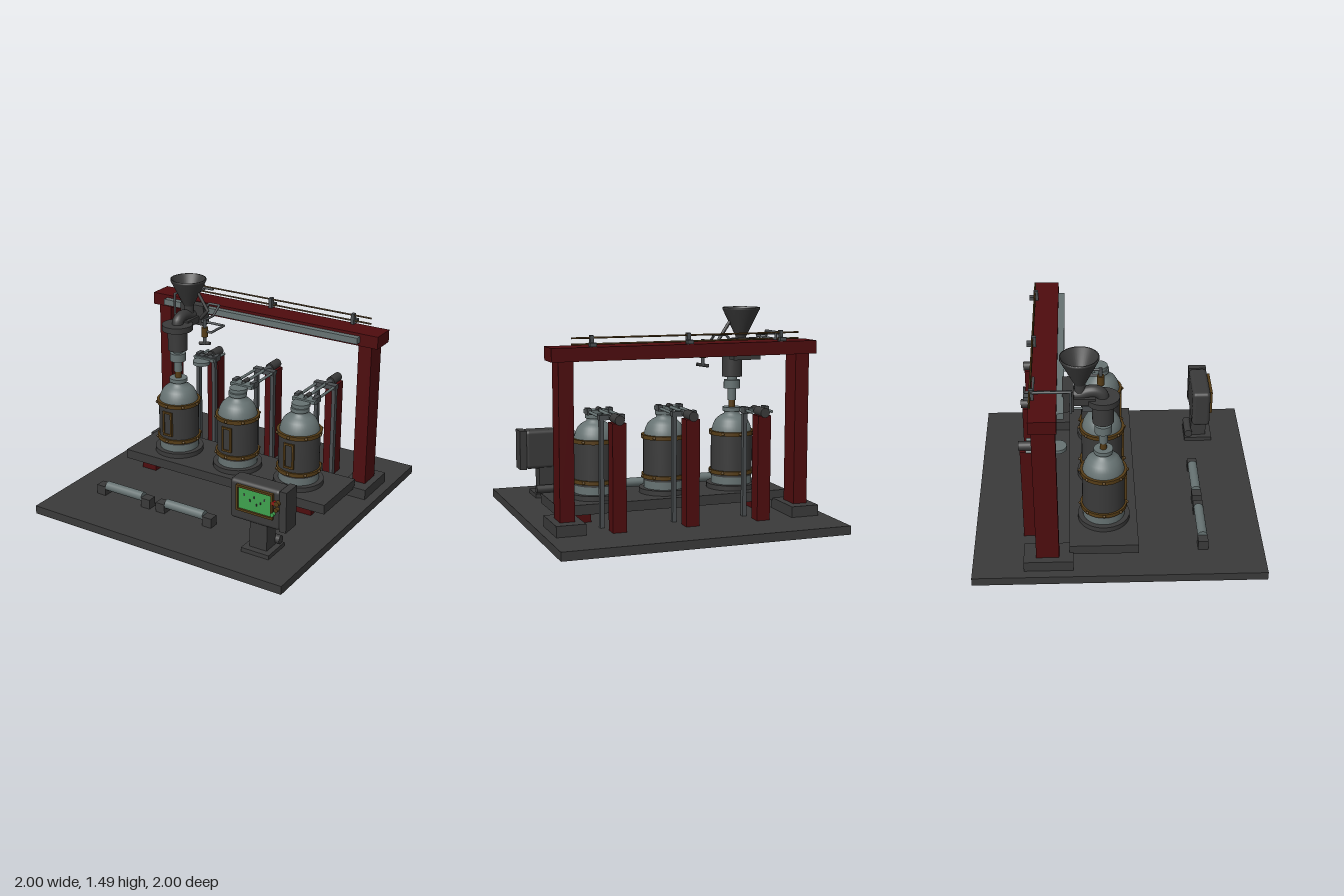
import * as THREE from 'three';
import { RoundedBoxGeometry } from 'three/addons/geometries/RoundedBoxGeometry.js';

const mat = (name, color, side = THREE.FrontSide) => {
  const m = new THREE.MeshStandardMaterial({ color, side });
  m.name = name;
  return m;
};

export function createModel() {
  const dark = mat('charcoal', 0x3a3a3a, THREE.DoubleSide);
  const red = mat('deepRed', 0x4e0c0e);
  const steel = mat('paleSteel', 0x667272, THREE.DoubleSide);
  const grey = mat('midGrey', 0x4a4e50);
  const gold = mat('bronze', 0x553c16);
  const green = mat('screenGreen', 0x3fa24e);
  const scarlet = mat('buttonRed', 0x9a1414);

  const model = new THREE.Group();
  model.name = 'fillingLine';

  const add = (parent, name, geo, m, x = 0, y = 0, z = 0) => {
    const mesh = new THREE.Mesh(geo, m);
    mesh.name = name;
    mesh.position.set(x, y, z);
    parent.add(mesh);
    return mesh;
  };
  // box given by its limits
  const box = (p, name, m, x0, x1, y0, y1, z0, z1) =>
    add(p, name, new THREE.BoxGeometry(x1 - x0, y1 - y0, z1 - z0), m, (x0 + x1) / 2, (y0 + y1) / 2, (z0 + z1) / 2);
  // upright cylinder given by its bottom and top
  const cyl = (p, name, m, r, y0, y1, x = 0, z = 0, rTop = r) =>
    add(p, name, new THREE.CylinderGeometry(rTop, r, y1 - y0, 32), m, x, (y0 + y1) / 2, z);
  // cylinder between two points
  const rod = (p, name, m, r, a, b) => {
    const A = new THREE.Vector3(...a), B = new THREE.Vector3(...b), d = B.clone().sub(A);
    const mesh = add(p, name, new THREE.CylinderGeometry(r, r, d.length(), 16), m);
    mesh.position.copy(A).add(B).multiplyScalar(0.5);
    mesh.quaternion.setFromUnitVectors(new THREE.Vector3(0, 1, 0), d.normalize());
    return mesh;
  };
  // bent pipe made of straight runs with ball corners
  const pipe = (p, name, m, r, pts) => {
    for (let i = 0; i < pts.length - 1; i++) {
      rod(p, name, m, r, pts[i], pts[i + 1]);
      if (i) add(p, name + 'Corner', new THREE.SphereGeometry(r, 12, 8), m, ...pts[i]);
    }
  };
  const group = (name, x = 0, y = 0, z = 0) => {
    const g = new THREE.Group();
    g.name = name;
    g.position.set(x, y, z);
    model.add(g);
    return g;
  };
  const lathe = (pts) => new THREE.LatheGeometry(pts.map(([r, y]) => new THREE.Vector2(r, y)), 40);
  // rectangular frame facing +z
  const frame = (w, h, t, depth) => {
    const s = new THREE.Shape([[-w, -h], [w, -h], [w, h], [-w, h]].map(([x, y]) => new THREE.Vector2(x / 2, y / 2)));
    const a = w / 2 - t, b = h / 2 - t;
    s.holes.push(new THREE.Path([[-a, -b], [-a, b], [a, b], [a, -b]].map(([x, y]) => new THREE.Vector2(x, y))));
    return new THREE.ExtrudeGeometry(s, { depth, bevelEnabled: false });
  };

  box(model, 'floorPlate', dark, -1, 1, 0, 0.06, -1, 1);

  // Gantry
  const gantry = group('gantry');
  for (const s of [-1, 1]) {
    box(gantry, 'gantryFoot', dark, s * 0.835 - 0.1, s * 0.835 + 0.1, 0.06, 0.135, -0.65, -0.315);
    box(gantry, 'gantryPost', red, s * 0.837 - 0.05, s * 0.837 + 0.05, 0.135, 1.18, -0.565, -0.41);
  }
  box(gantry, 'gantryBeam', red, -0.935, 0.935, 1.18, 1.27, -0.58, -0.4);
  box(gantry, 'slideRail', steel, -0.81, 0.8, 1.205, 1.25, -0.4, -0.355);
  for (const y of [1.29, 1.33]) rod(gantry, 'supplyLine', gold, 0.006, [-0.8, y, -0.57], [0.8, y, -0.57]);
  for (const x of [-0.67, 0, 0.665]) {
    box(gantry, 'lineBracket', grey, x - 0.012, x + 0.012, 1.265, 1.345, -0.578, -0.545);
    box(gantry, 'lineBracketPlate', grey, x - 0.022, x + 0.022, 1.275, 1.3, -0.61, -0.575);
  }

  // Table
  const table = group('table');
  box(table, 'tableTop', dark, -0.84, 0.84, 0.12, 0.19, -0.34, 0.13);
  for (const s of [-1, 1]) box(table, 'tableFoot', red, s * 0.66 - 0.06, s * 0.66 + 0.06, 0.06, 0.12, -0.305, 0.095);

  // Three vessels, each with its gripper column
  [-0.515, 0, 0.51].forEach((x, i) => {
    const v = group('vessel', x, 0, -0.1);
    cyl(v, 'vesselFoot', dark, 0.18, 0.19, 0.225);
    cyl(v, 'vesselBase', steel, 0.145, 0.225, 0.3);
    cyl(v, 'vesselJacket', dark, 0.148, 0.28, 0.59);
    add(v, 'vesselDome', lathe([[0.145, 0.58], [0.142, 0.61], [0.133, 0.645], [0.115, 0.68], [0.088, 0.705], [0.056, 0.722], [0.056, 0.742]]), steel);
    cyl(v, 'vesselCap', steel, 0.066, 0.742, 0.77);
    for (const y of [0.31, 0.59]) {
      cyl(v, 'vesselBand', gold, 0.162, y - 0.014, y + 0.014);
      for (let k = 0; k < 8; k++) {
        const a = k * Math.PI / 4;
        add(v, 'bandBolt', new THREE.SphereGeometry(0.011, 10, 8), gold, 0.163 * Math.cos(a), y, 0.163 * Math.sin(a));
      }
    }
    box(v, 'windowPane', dark, -0.03, 0.03, 0.36, 0.535, 0.13, 0.15);
    add(v, 'windowFrame', frame(0.08, 0.19, 0.014, 0.022), gold, 0, 0.448, 0.137);

    // Column, guide posts and motor
    const c = group('gripperColumn', x);
    box(c, 'column', red, -0.047, 0.047, 0.06, 0.78, -0.66, -0.565);
    rod(c, 'motor', dark, 0.033, [0, 0.8, -0.67], [0, 0.8, -0.55]);
    rod(c, 'motorNeck', grey, 0.022, [0, 0.8, -0.56], [0, 0.8, -0.46]);
    for (const s of [-1, 1]) box(c, 'guidePost', grey, s * 0.07 - 0.014, s * 0.07 + 0.014, 0.06, 0.79, -0.5, -0.465);
    box(c, 'crossBar', grey, -0.088, 0.088, 0.782, 0.815, -0.505, -0.455);

    // Arm, drawn back at the filling station
    const a = group('gripperArm', x, 0, i ? 0 : -0.3);
    const back = i ? -0.48 : -0.32;
    for (const s of [-1, 1]) {
      rod(a, 'slideRod', steel, 0.01, [s * 0.072, 0.8, -0.17], [s * 0.072, 0.8, back]);
      box(a, 'rodClamp', grey, s * 0.075 - 0.016, s * 0.075 + 0.016, 0.78, 0.825, -0.235, -0.17);
    }
    rod(a, 'pushRod', steel, 0.011, [0, 0.808, -0.16], [0, 0.808, back]);
    box(a, 'gripperPlate', steel, -0.09, 0.09, 0.785, 0.81, -0.22, -0.14);
    cyl(a, 'gripperDisc', steel, 0.065, 0.772, 0.798, 0, -0.11);
    rod(a, 'gripperPin', dark, 0.016, [0, 0.815, -0.24], [0, 0.815, -0.18]);
  });

  // Filling head
  const head = group('fillingHead', -0.515);
  cyl(head, 'nozzle', gold, 0.023, 0.765, 0.825, 0, -0.1);
  cyl(head, 'lowerShaft', steel, 0.03, 0.82, 0.905, 0, -0.1);
  cyl(head, 'coupling', steel, 0.058, 0.905, 0.965, 0, -0.1);
  cyl(head, 'upperShaft', steel, 0.035, 0.965, 0.99, 0, -0.1);
  cyl(head, 'headBody', dark, 0.072, 0.99, 1.15, 0, -0.1);
  cyl(head, 'headFlange', dark, 0.112, 1.143, 1.185, 0, -0.1);
  const bend = new THREE.CatmullRomCurve3([[1.17, -0.1], [1.205, -0.11], [1.225, -0.145], [1.225, -0.19], [1.205, -0.25], [1.2, -0.31]]
    .map(([y, z]) => new THREE.Vector3(0, y, z)));
  add(head, 'feedElbow', new THREE.TubeGeometry(bend, 28, 0.042, 20), dark);
  box(head, 'carriage', dark, -0.1, 0.1, 1.13, 1.28, -0.365, -0.29);
  box(head, 'carriageArm', dark, -0.06, 0.06, 1.15, 1.2, -0.31, -0.15);
  cyl(head, 'hopperThroat', dark, 0.036, 1.2, 1.3, 0, -0.25);
  add(head, 'hopper', lathe([[0.036, 1.285], [0.13, 1.475], [0.13, 1.488], [0.121, 1.488], [0.028, 1.29], [0, 1.29]]), dark, 0, 0, -0.25);

  // Service pipe, strut and side valve
  pipe(head, 'servicePipe', grey, 0.009, [[0.02, 1.325, -0.55], [-0.165, 1.325, -0.55], [-0.165, 1.325, -0.31], [-0.165, 1.17, -0.31], [-0.09, 1.17, -0.31]]);
  pipe(head, 'lowerServicePipe', grey, 0.008, [[-0.1, 1.29, -0.3], [-0.1, 1.29, -0.605], [-0.1, 1.33, -0.605]]);
  pipe(head, 'strut', dark, 0.012, [[0.085, 1.39, -0.25], [0.165, 1.27, -0.25], [0.1, 1.2, -0.25]]);
  pipe(head, 'valvePipe', grey, 0.009, [[0.1, 1.26, -0.31], [0.14, 1.305, -0.31], [0.225, 1.305, -0.31], [0.225, 1.25, -0.23], [0.225, 1.25, -0.11]]);
  pipe(head, 'valveBrace', grey, 0.009, [[0.09, 1.17, -0.28], [0.285, 1.17, -0.28], [0.285, 1.17, -0.11], [0.225, 1.17, -0.11]]);
  cyl(head, 'valveStem', grey, 0.013, 1.07, 1.26, 0.23, -0.11);
  cyl(head, 'valveBody', gold, 0.024, 1.13, 1.2, 0.23, -0.11);
  rod(head, 'valveHandle', dark, 0.012, [0.185, 1.07, -0.11], [0.275, 1.085, -0.11]);

  // Floor rollers
  for (const [x0, x1] of [[-0.675, -0.36], [-0.16, 0.155]]) {
    const r = group('roller');
    rod(r, 'rollerDrum', steel, 0.034, [x0, 0.125, 0.58], [x1, 0.125, 0.58]);
    for (const x of [x0 - 0.073, x1]) box(r, 'rollerBlock', dark, x, x + 0.073, 0.06, 0.13, 0.545, 0.615);
  }

  // Control panel
  const panel = group('controlPanel');
  box(panel, 'panelFoot', dark, 0.56, 0.77, 0.06, 0.09, 0.555, 0.765);
  box(panel, 'panelStand', dark, 0.6, 0.73, 0.09, 0.3, 0.605, 0.72);
  rod(panel, 'panelCable', dark, 0.03, [0.57, 0.12, 0.585], [0.76, 0.12, 0.585]);
  add(panel, 'panelHousing', new RoundedBoxGeometry(0.38, 0.29, 0.135, 3, 0.028), dark, 0.64, 0.415, 0.665);
  box(panel, 'panelSide', dark, 0.825, 0.875, 0.27, 0.56, 0.595, 0.73);
  box(panel, 'screen', green, 0.525, 0.77, 0.365, 0.52, 0.73, 0.739);
  add(panel, 'screenFrame', frame(0.275, 0.185, 0.015, 0.022), gold, 0.6475, 0.4425, 0.73);
  [[0.57, 0.47], [0.61, 0.44], [0.64, 0.47], [0.66, 0.42], [0.69, 0.44], [0.72, 0.47]].forEach(([x, y]) =>
    box(panel, 'screenMark', dark, x - 0.004, x + 0.004, y - 0.008, y + 0.008, 0.737, 0.742));
  [[scarlet, 0.795, 0.475, 0.014], [gold, 0.815, 0.475, 0.018], [gold, 0.81, 0.43, 0.015], [green, 0.785, 0.39, 0.014]].forEach(([m, x, y, r]) =>
    rod(panel, 'button', m, r, [x, y, 0.72], [x, y, 0.755]));

  return model;
}
